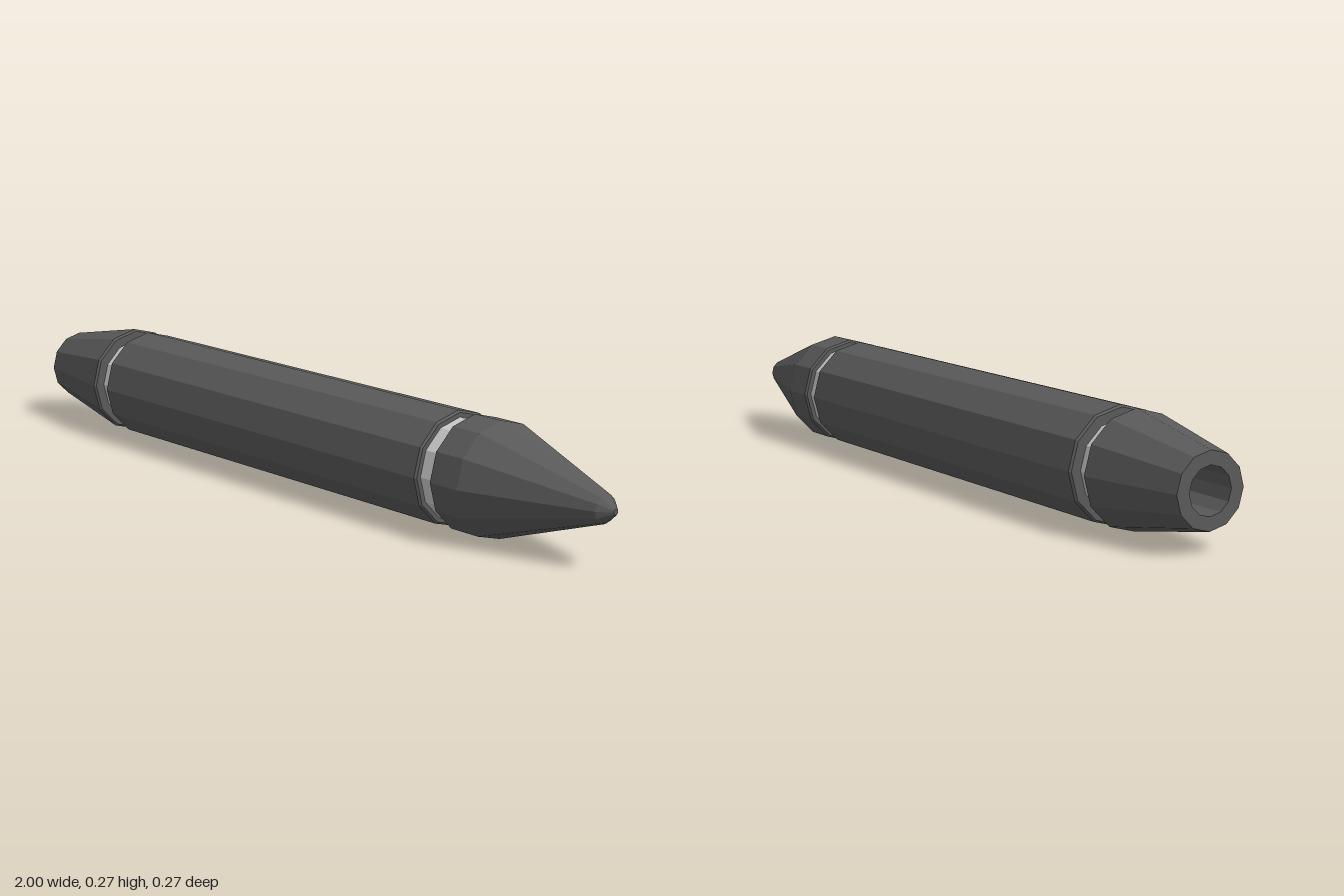
import * as THREE from 'three';

const SIDES = 12;
const RADIUS = 0.137;

export function createModel() {
  const model = new THREE.Group();
  model.name = 'pen';
  const dark = new THREE.MeshStandardMaterial({ color: 0x5a5a5a, flatShading: true });
  const light = new THREE.MeshStandardMaterial({ color: 0xcccccc, flatShading: true });

  // Twelve-sided turned part along x, from [x, radius] pairs
  function turned(name, profile, material) {
    const points = profile.map(([x, r]) => new THREE.Vector2(r, x));
    const geometry = new THREE.LatheGeometry(points, SIDES);
    geometry.rotateZ(-Math.PI / 2);
    const mesh = new THREE.Mesh(geometry, material);
    mesh.name = name;
    mesh.position.y = RADIUS;
    model.add(mesh);
  }

  // Tapered tail with a blind bore in its end
  turned('tailCap', [
    [-0.85, 0], [-0.85, 0.055], [-1, 0.055], [-1, 0.087],
    [-0.735, RADIUS], [-0.73, 0.132], [-0.73, 0],
  ], dark);

  // Main barrel with slightly bevelled ends
  turned('barrel', [
    [-0.68, 0], [-0.68, 0.132], [-0.675, RADIUS],
    [0.517, RADIUS], [0.522, 0.132], [0.522, 0],
  ], dark);

  // Pointed tip
  turned('tip', [
    [0.565, 0], [0.565, 0.132], [0.57, RADIUS], [0.655, RADIUS],
    [0.97, 0.033], [0.998, 0.009], [1, 0.007], [1, 0],
  ], dark);

  // Recessed bands in the two gaps
  turned('tailBand', [[-0.74, 0.108], [-0.67, 0.108]], light);
  turned('tipBand', [[0.51, 0.121], [0.575, 0.121]], light);

  return model;
}
